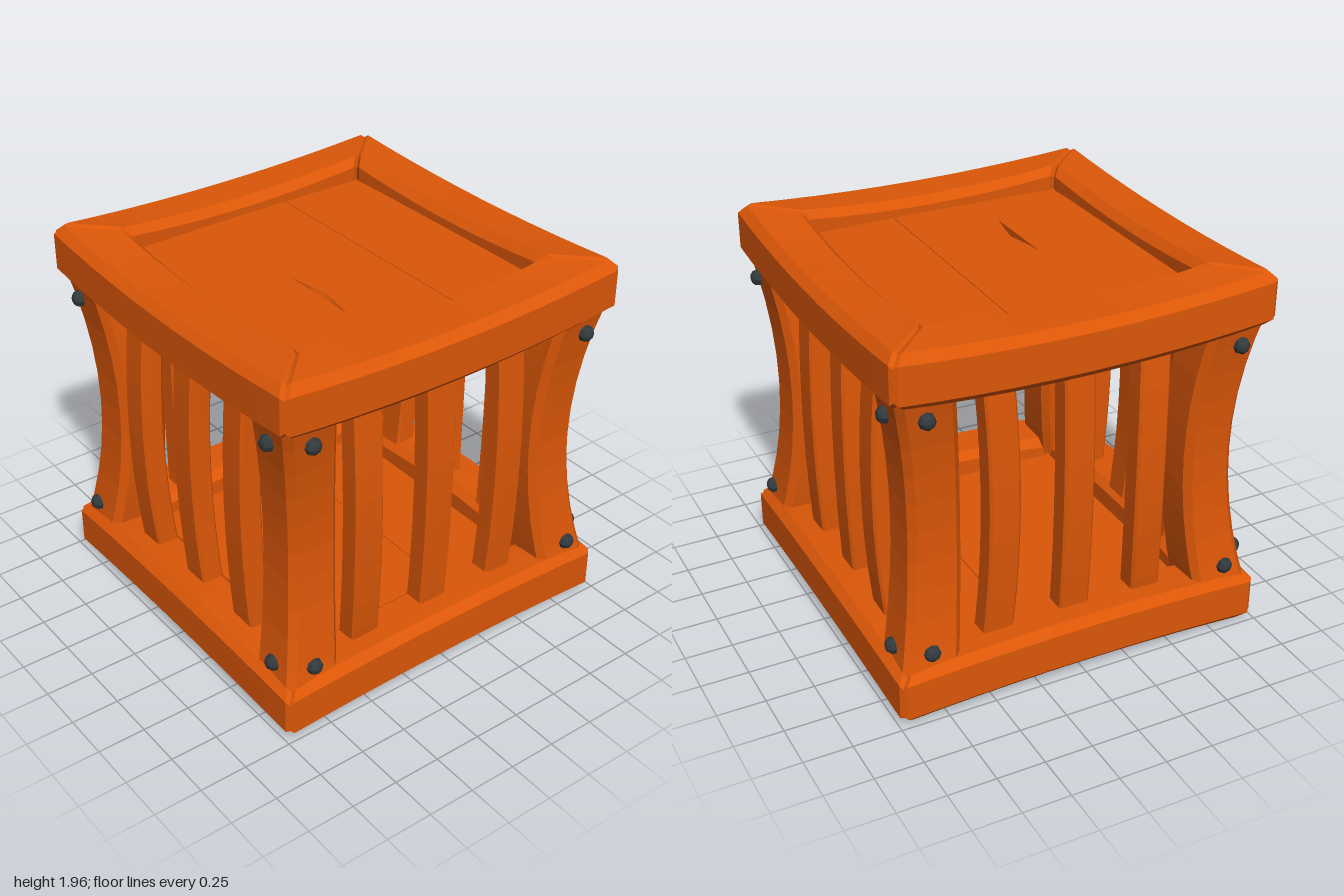
import * as THREE from 'three';

const H = 1.965, MID = H / 2;

// chamfered rectangle, counter-clockwise in (u, v)
function chamfer(u0, u1, v0, v1, c) {
  return [[u0 + c, v0], [u1 - c, v0], [u1, v0 + c], [u1, v1 - c],
    [u1 - c, v1], [u0 + c, v1], [u0, v1 - c], [u0, v0 + c]];
}

// flat-shaded solid through a row of equal cross-sections, capped at both ends
function loft(rings) {
  const p = [];
  const tri = (a, b, c) => p.push(...a, ...b, ...c);
  const n = rings[0].length, last = rings[rings.length - 1];
  for (let i = 0; i < rings.length - 1; i++) {
    for (let j = 0; j < n; j++) {
      const k = (j + 1) % n;
      tri(rings[i][j], rings[i][k], rings[i + 1][k]);
      tri(rings[i][j], rings[i + 1][k], rings[i + 1][j]);
    }
  }
  for (let j = 1; j < n - 1; j++) {
    tri(rings[0][0], rings[0][j + 1], rings[0][j]);
    tri(last[0], last[j], last[j + 1]);
  }
  const g = new THREE.BufferGeometry();
  g.setAttribute('position', new THREE.Float32BufferAttribute(p, 3));
  g.computeVertexNormals();
  return g;
}

// mitred frame beam along x, sagging at its middle, with eased ends
function beamGeometry() {
  const ts = [-1, -0.97, -0.8, -0.6, -0.4, -0.2, 0, 0.2, 0.4, 0.6, 0.8, 0.97, 1];
  return loft(ts.map((t) => {
    const e = Math.abs(t) === 1 ? 0.014 : 0;
    const bow = 1 - t * t;
    return chamfer(1.69 + e, H - e, 0.7 + e, 0.99 - e, 0.042)
      .map(([y, z]) => [t * z, y - 0.042 * bow, z + 0.012 * bow]);
  }));
}

// upright bar; section(s) gives its cross-section in (z, x), s runs -1..1
function uprightGeometry(section) {
  const rings = [];
  for (let i = 0; i <= 10; i++) {
    const s = i / 5 - 1;
    rings.push(section(s).map(([z, x]) => [x, MID + s * 0.78, z]));
  }
  return loft(rings);
}

// flat board, optionally with one edge chipped on its outward side
function plankGeometry(x0, x1, dir, chipped) {
  const g = new THREE.BoxGeometry(x1 - x0, 0.06, 1.46, 1, 1, 20).toNonIndexed();
  const p = g.attributes.position;
  for (let i = 0; i < p.count; i++) {
    const x = p.getX(i) + (x0 + x1) / 2;
    const onEdge = chipped && p.getY(i) * dir > 0 && x < x0 + 0.001;
    const chip = 0.045 * Math.max(0, 1 - Math.abs(p.getZ(i) - 0.23) / 0.21);
    p.setX(i, onEdge ? x + chip : x);
  }
  g.computeVertexNormals();
  return g;
}

// domed bolt head pointing along +z
function boltGeometry() {
  const profile = [[0, 0], [0.043, 0], [0.039, 0.022], [0.024, 0.037], [0, 0.044]];
  const g = new THREE.LatheGeometry(profile.map(([r, y]) => new THREE.Vector2(r, y)), 8)
    .rotateX(Math.PI / 2).toNonIndexed();
  g.computeVertexNormals();
  return g;
}

// slats of each side: [x at the ends, sideways bend, outward bow]
const SIDES = {
  frontSide: [[-0.43, -0.018, 0.055], [-0.003, 0, 0.035], [0.43, 0.01, 0.035]],
  leftSide: [[-0.412, 0.012, 0.035], [0.003, 0.026, 0.035], [0.428, 0, 0.055]],
  backSide: [[-0.42, 0.03, 0.035], [0.003, 0, 0.035], [0.415, -0.028, 0.055]],
  rightSide: [[-0.428, 0, 0.06], [-0.003, -0.026, 0.035], [0.412, -0.012, 0.035]],
};

export function createModel() {
  const wood = new THREE.MeshStandardMaterial({ color: 0xdc5708 });
  wood.name = 'orange wood';
  const iron = new THREE.MeshStandardMaterial({ color: 0x32393c });
  iron.name = 'dark iron';

  const model = new THREE.Group();
  model.name = 'woodenCage';
  const add = (parent, name, geometry, material) => {
    const m = new THREE.Mesh(geometry, material);
    m.name = name;
    parent.add(m);
    return m;
  };

  // top and bottom frames
  const beam = beamGeometry();
  for (const name of ['topFrame', 'bottomFrame']) {
    const frame = new THREE.Group();
    frame.name = name;
    for (let i = 0; i < 4; i++) add(frame, 'beam', beam, wood).rotation.y = i * Math.PI / 2;
    if (name === 'bottomFrame') {
      frame.rotation.x = Math.PI;
      frame.position.y = H;
    }
    model.add(frame);
  }

  // roof and floor boards
  for (const dir of [1, -1]) {
    const panel = new THREE.Group();
    panel.name = dir > 0 ? 'roof' : 'floor';
    panel.position.y = MID + dir * 0.83;
    [[-0.706, -0.238], [-0.238, 0.232], [0.236, 0.706]].forEach(([a, b], i) =>
      add(panel, 'plank', plankGeometry(a, b, dir, i === 1), wood));
    model.add(panel);
  }

  // corner posts, pinched toward the middle
  const post = uprightGeometry((s) => {
    const a = 0.608 + 0.06 * s * s, b = 0.875 + 0.095 * s * s;
    return chamfer(a, b, a, b, 0.035);
  });
  const bolt = boltGeometry();

  // slat bowing outward and bending slightly sideways
  const slat = ([x, bend, bow]) => uprightGeometry((s) => {
    const k = 1 - s * s, z = 0.79 + bow * k, c = x + bend * k;
    return chamfer(z - 0.06, z + 0.06, c - 0.081, c + 0.081, 0.012);
  });

  // four sides, each with a post, its slats and four bolts
  Object.entries(SIDES).forEach(([name, slats], i) => {
    const side = new THREE.Group();
    side.name = name;
    side.rotation.y = i * Math.PI / 2;
    add(side, 'cornerPost', post, wood);
    for (const s of slats) add(side, 'slat', slat(s), wood);
    for (const x of [-0.815, 0.815]) {
      for (const y of [0.365, 1.61]) add(side, 'bolt', bolt, iron).position.set(x, y, 0.952);
    }
    model.add(side);
  });
  return model;
}
